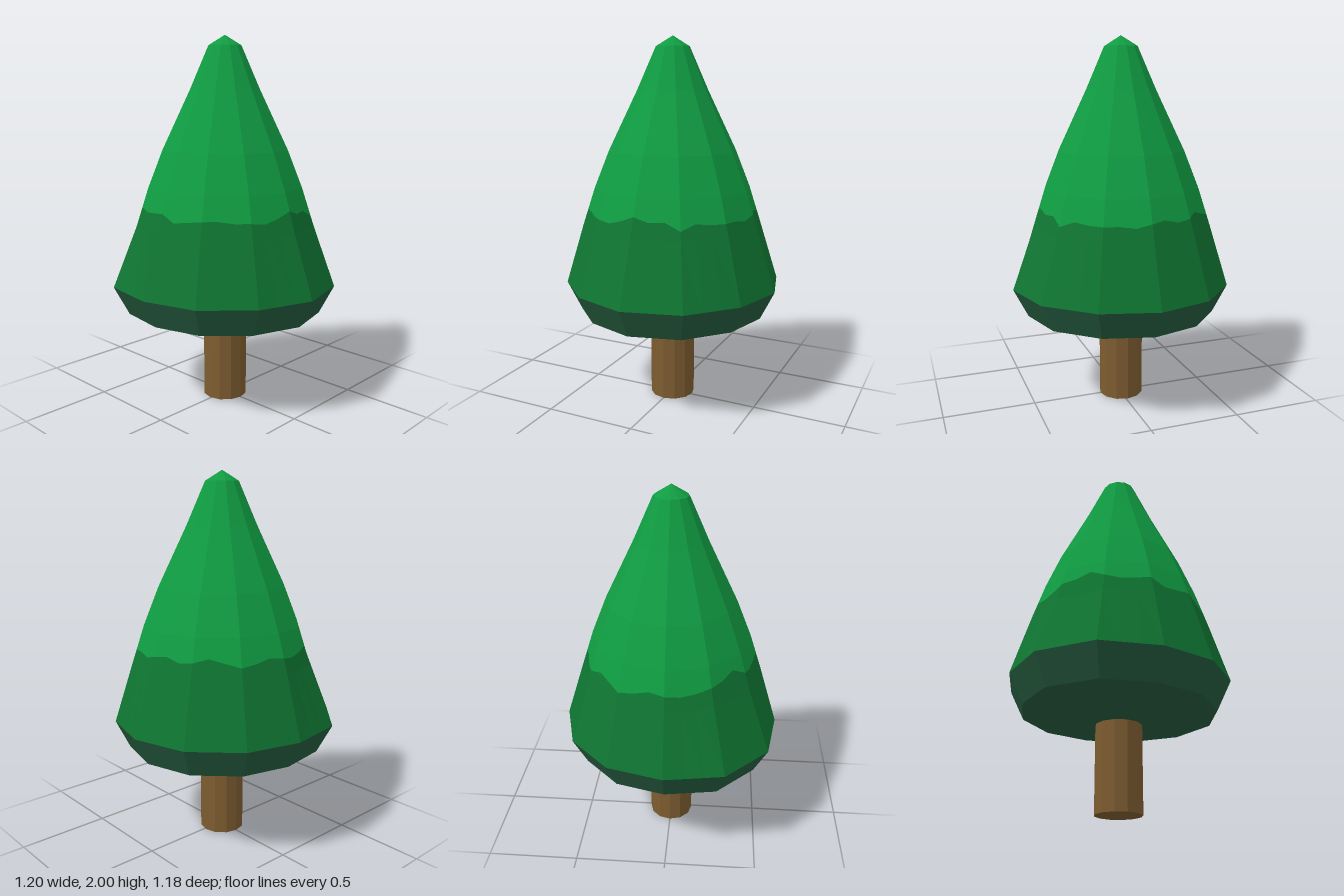
import * as THREE from 'three';

const SIDES = 12, SUB = 3, COLS = SIDES * SUB;
const CX = -0.01; // the trunk axis sits slightly off centre

// Slightly uneven rim radius for each corner, starting at +x and turning toward +z
const rim = [0.61, 0.59, 0.589, 0.59, 0.622, 0.623, 0.59, 0.592, 0.594, 0.595, 0.594, 0.61];
const even = (r) => Array(SIDES).fill(r);

// Crown rings from bottom to top
const rings = [
  { y: 0.455, r: even(0.12) },
  { y: 0.515, r: rim.map((r) => r * 0.87) },
  { y: 0.67, r: rim },
  { y: 1.0, r: even(0.49) },
  { y: 1.2, r: even(0.425) },
  { y: 1.4, r: even(0.345) },
  { y: 1.72, r: even(0.19) },
  { y: 1.945, r: even(0.09) },
  { y: 2.0, r: even(0) },
];

// Wavy height of the colour change, in hundredths above 1.0, every 10 degrees
const wave = [11, 8, 6, 7, 7, 8, 8, 7, 6, 10, 9, 8.5, 10, 14, 11, 10, 8, 7,
  8, 9, 7, 6, 8, 10, 8, 7, 9, 8, 6, 7, 7, 7, 8, 5, 9, 8.5];
wave.unshift(wave.pop()); // shift so that the front peak falls at 120 degrees
wave.push(wave.shift());

// Point on a ring; columns between corners lie on the straight edge
function ringPoint(ring, col) {
  const corner = (i) => {
    const a = (i / SIDES) * Math.PI * 2, r = ring.r[i % SIDES];
    return new THREE.Vector3(CX + r * Math.cos(a), ring.y, r * Math.sin(a));
  };
  const i = Math.floor(col / SUB);
  return corner(i).lerp(corner(i + 1), (col % SUB) / SUB);
}
const ringRow = (ring) => Array.from({ length: COLS }, (_, c) => ringPoint(ring, c));

// Row following the wavy line on the facets between the rings at 1.0 and 1.2
const waveRow = () => Array.from({ length: COLS }, (_, c) =>
  ringPoint(rings[3], c).lerp(ringPoint(rings[4], c), wave[c] / 20));

// Joins rows, ordered bottom to top, into a faceted shell
function shell(rows) {
  const pos = [];
  const tri = (a, b, c) => {
    if (a.distanceTo(b) < 1e-6 || b.distanceTo(c) < 1e-6 || a.distanceTo(c) < 1e-6) return;
    for (const p of [a, b, c]) pos.push(p.x, p.y, p.z);
  };
  for (let k = 0; k < rows.length - 1; k++) {
    for (let c = 0; c < COLS; c++) {
      const n = (c + 1) % COLS, lo = rows[k], hi = rows[k + 1];
      tri(lo[c], hi[c], hi[n]);
      tri(lo[c], hi[n], lo[n]);
    }
  }
  const g = new THREE.BufferGeometry();
  g.setAttribute('position', new THREE.Float32BufferAttribute(pos, 3));
  g.computeVertexNormals();
  return g;
}

function material(name, color) {
  const m = new THREE.MeshStandardMaterial({ color, flatShading: true });
  m.name = name;
  return m;
}

export function createModel() {
  const tree = new THREE.Group();
  tree.name = 'tree';
  const add = (name, geometry, mat) => {
    const mesh = new THREE.Mesh(geometry, mat);
    mesh.name = name;
    tree.add(mesh);
    return mesh;
  };

  // Trunk
  const trunk = add('trunk', new THREE.CylinderGeometry(0.123, 0.123, 0.47, SIDES), material('bark brown', 0x7d5c30));
  trunk.position.set(CX, 0.235, 0);

  // Shaded underside and bevelled rim
  add('crownUnderside', shell(rings.slice(0, 3).map(ringRow)), material('deep green', 0x245a3e));

  // Lower crown, up to the wavy line
  add('lowerCrown', shell([ringRow(rings[2]), ringRow(rings[3]), waveRow()]), material('dark green', 0x0f7532));

  // Upper crown and pointed cap
  add('upperCrown', shell([waveRow(), ...rings.slice(4).map(ringRow)]), material('bright green', 0x109c42));

  return tree;
}
